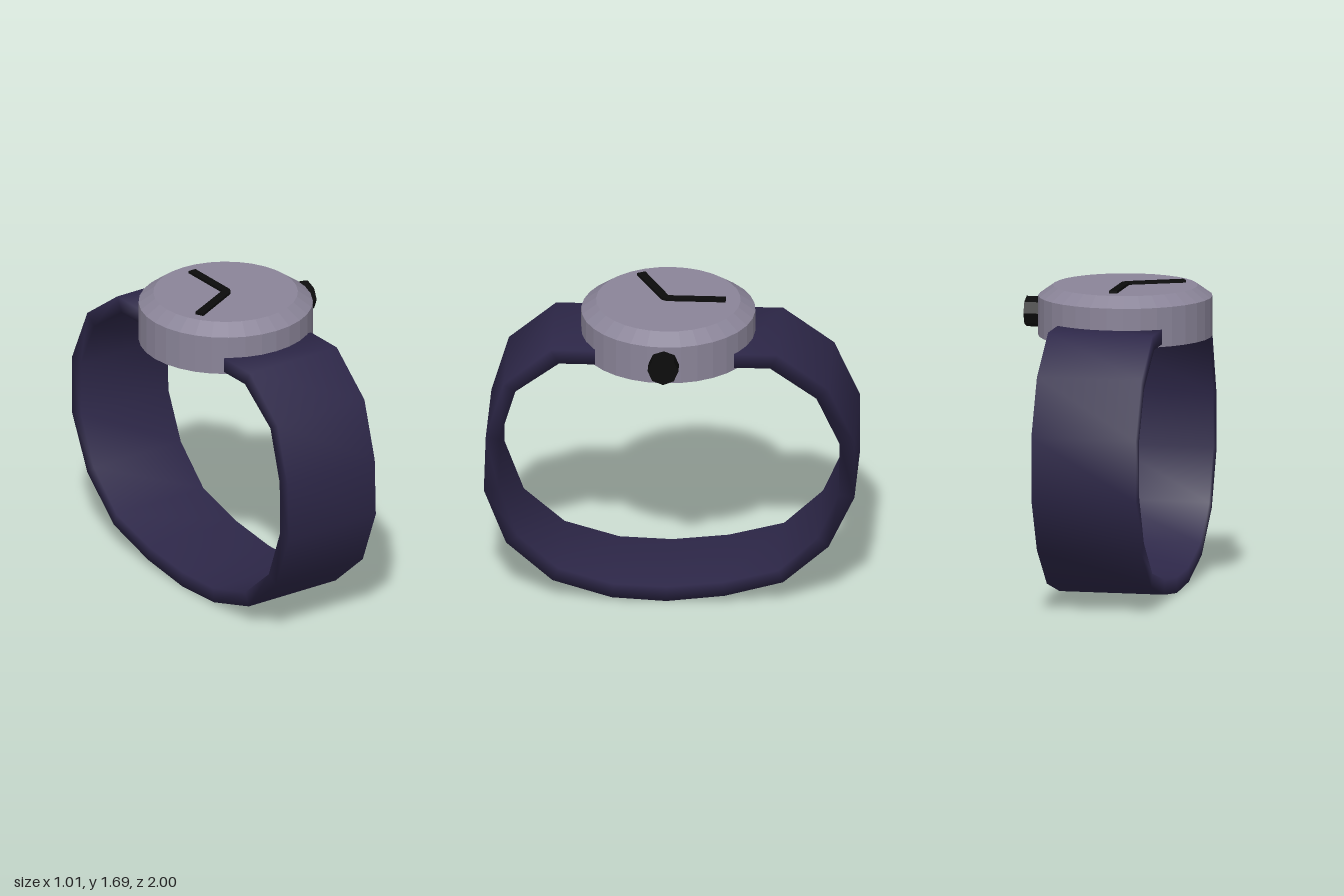
import * as THREE from 'three';

const CX = -0.04, CZ = 0.02; // axis of the watch case

function part(name, geometry, color, flatShading = false) {
  const mesh = new THREE.Mesh(geometry, new THREE.MeshStandardMaterial({ color, flatShading }));
  mesh.name = name;
  return mesh;
}

// Band: a rectangular section swept along outer/inner side profiles [z, y, z, y]
function strapGeometry(profile, x0, x1) {
  const pos = [], index = [];
  for (const [zo, yo, zi, yi] of profile) {
    pos.push(x0, yo, zo, x1, yo, zo, x1, yi, zi, x0, yi, zi);
  }
  for (let i = 0; i < profile.length - 1; i++) {
    for (let k = 0; k < 4; k++) {
      const a = i * 4 + k, b = i * 4 + (k + 1) % 4;
      index.push(a, b + 4, b, a, a + 4, b + 4);
    }
  }
  const e = (profile.length - 1) * 4;
  index.push(0, 1, 2, 0, 2, 3, e, e + 2, e + 1, e, e + 3, e + 2);
  const g = new THREE.BufferGeometry();
  g.setAttribute('position', new THREE.Float32BufferAttribute(pos, 3));
  g.setIndex(index);
  g.computeVertexNormals();
  return g;
}

export function createModel() {
  const watch = new THREE.Group();
  watch.name = 'wristwatch';

  // Strap, from the front of the case round underneath to the back
  const profile = [
    [0.40, 1.495, 0.40, 1.415], [0.64, 1.495, 0.595, 1.415],
    [0.895, 1.28, 0.83, 1.24], [0.99, 0.96, 0.915, 0.95],
    [1.00, 0.64, 0.92, 0.655], [0.88, 0.33, 0.815, 0.37],
    [0.63, 0.11, 0.595, 0.18], [0.31, 0.015, 0.30, 0.095],
    [0.015, 0, 0.015, 0.085], [-0.30, 0.04, -0.29, 0.12],
    [-0.615, 0.13, -0.59, 0.20], [-0.86, 0.35, -0.80, 0.40],
    [-1.00, 0.65, -0.915, 0.665], [-1.00, 0.985, -0.92, 0.97],
    [-0.86, 1.295, -0.795, 1.24], [-0.585, 1.495, -0.545, 1.415],
    [-0.35, 1.495, -0.35, 1.415],
  ];
  watch.add(part('strap', strapGeometry(profile, -0.325, 0.252), 0x2d2748));

  // Case: flat-sided drum with a bevelled rim and flat dial
  const casePoints = [[0, 1.4], [0.47, 1.4], [0.47, 1.615], [0.39, 1.672], [0, 1.672]]
    .map(([r, y]) => new THREE.Vector2(r, y));
  const body = part('case', new THREE.LatheGeometry(casePoints, 32), 0x8a8498, true);
  body.position.set(CX, 0, CZ);
  watch.add(body);

  // Hands: one bent bar lying on the dial, outlined as [x, z]
  const outline = [[-0.062, -0.29], [-0.018, -0.29], [-0.018, 0.03], [-0.035, 0.058],
    [-0.32, 0.204], [-0.342, 0.16], [-0.062, 0.02]];
  const handShape = new THREE.Shape(outline.map(([x, z]) => new THREE.Vector2(x, -z)));
  const handGeometry = new THREE.ExtrudeGeometry(handShape, { depth: 0.025, bevelEnabled: false });
  handGeometry.rotateX(-Math.PI / 2);
  const hands = part('hands', handGeometry, 0x0b0b0b, true);
  hands.position.y = 1.661;
  watch.add(hands);

  // Crown: octagonal knob on the left side
  const crown = part('crown', new THREE.CylinderGeometry(0.083, 0.083, 0.1, 8), 0x0b0b0b, true);
  crown.rotation.z = -Math.PI / 2;
  crown.position.set(0.455, 1.51, CZ);
  watch.add(crown);

  return watch;
}
